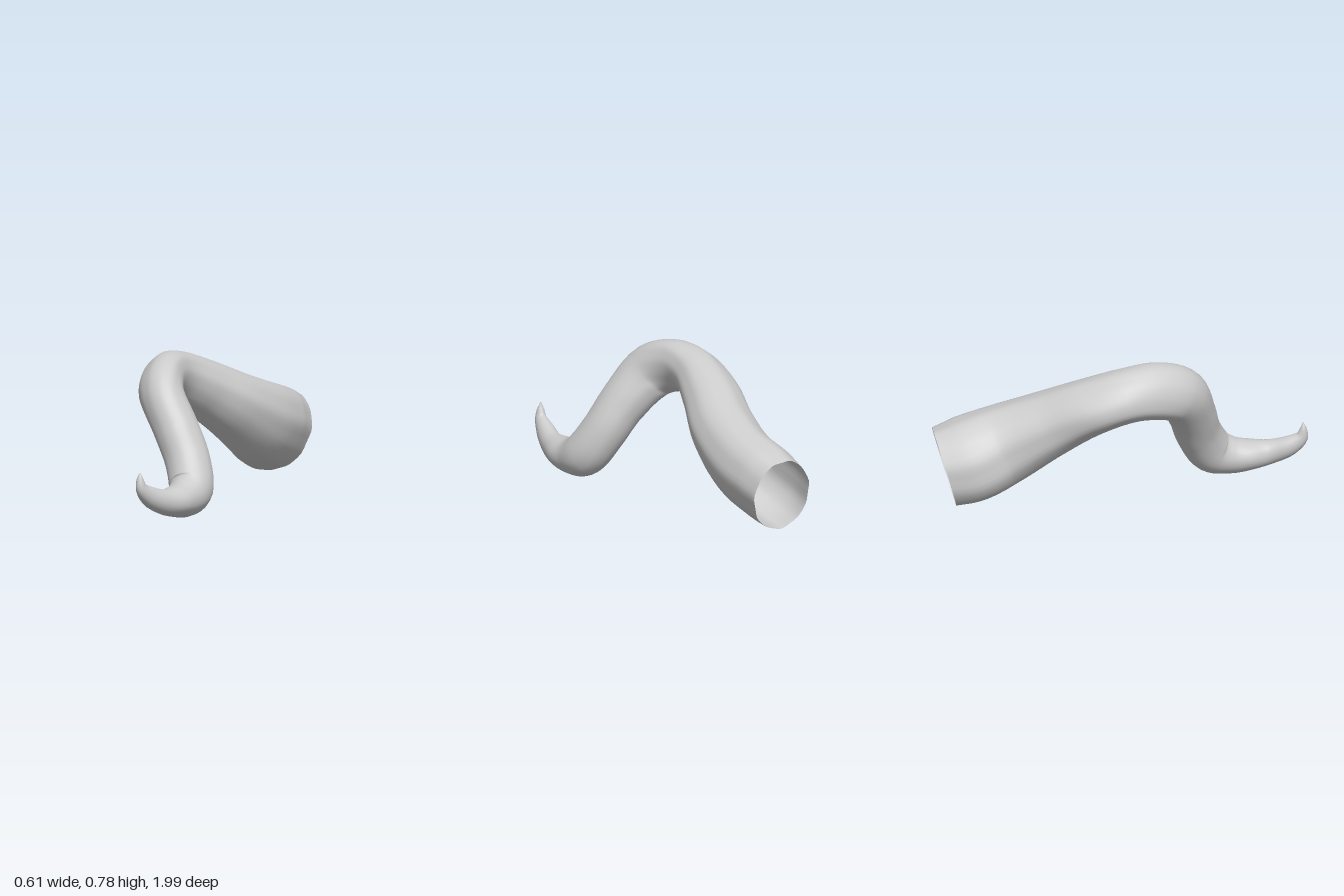
import * as THREE from 'three';

// Stations along the tentacle, root to tip:
// centre x, y, z, half width, half height, lean of the cross-section
const STATIONS = [
  [-0.01, 0.225, -0.938, 0.175, 0.207, 0.15],
  [-0.012, 0.263, -0.8, 0.196, 0.22, 0.18],
  [0.003, 0.325, -0.63, 0.184, 0.21, 0.12],
  [-0.035, 0.44, -0.4, 0.175, 0.175, 0.05],
  [-0.105, 0.55, -0.2, 0.155, 0.15, 0.05],
  [-0.155, 0.628, 0.0, 0.133, 0.138, 0.15],
  [-0.143, 0.638, 0.15, 0.121, 0.142, 0.25],
  [-0.085, 0.585, 0.289, 0.122, 0.139, 0.2],
  [0.042, 0.42, 0.371, 0.12, 0.126, 0.05],
  [0.132, 0.27, 0.42, 0.118, 0.121, 0],
  [0.193, 0.137, 0.502, 0.115, 0.12, 0],
  [0.2, 0.1, 0.6, 0.1, 0.098, 0],
  [0.195, 0.098, 0.7, 0.094, 0.08, 0],
  [0.185, 0.11, 0.8, 0.062, 0.066, 0],
  [0.155, 0.15, 0.9, 0.048, 0.054, 0],
  [0.14, 0.2, 0.962, 0.03, 0.036, 0],
  [0.135, 0.25, 0.972, 0.018, 0.018, 0],
  [0.135, 0.282, 0.97, 0.003, 0.003, 0],
];
const RINGS = 102, SIDES = 44;

function tentacleGeometry() {
  const path = new THREE.CatmullRomCurve3(STATIONS.map(s => new THREE.Vector3(s[0], s[1], s[2])));
  const sections = new THREE.CatmullRomCurve3(
    STATIONS.map(s => new THREE.Vector3(s[3], s[4], s[5])), false, 'catmullrom', 0.5);
  const positions = [], index = [];

  for (let i = 0; i <= RINGS; i++) {
    const t = i / RINGS;
    const c = path.getPoint(t), s = sections.getPoint(t), T = path.getTangent(t);
    // Sideways axis of the section, kept as close to +x as the path allows
    const side = new THREE.Vector3(1, 0, 0).addScaledVector(T, -T.x).normalize();
    const normal = new THREE.Vector3().crossVectors(T, side);
    const fade = Math.max(0, 1 - t * 1.2);
    for (let j = 0; j < SIDES; j++) {
      const a = (j / SIDES) * Math.PI * 2;
      // Lengthwise folds, strongest near the root
      const fold = 1 + fade * (0.014 * Math.cos(7 * a + 3 * t) + 0.01 * Math.cos(11 * a - 5 * t + 1));
      // Pointed outer flank on the crest of the arch
      const flank = 0.17 * Math.exp(-(((t - 0.262) / 0.04) ** 2)) * Math.max(0, -Math.cos(a)) ** 8;
      const k = fold + flank;
      const p = c.clone()
        .addScaledVector(side, Math.cos(a) * s.x * k)
        .addScaledVector(normal, Math.sin(a + s.z) * s.y * k);
      positions.push(p.x, Math.max(0, p.y), p.z);
      if (i < RINGS) {
        const n = (j + 1) % SIDES, b = i * SIDES, d = b + SIDES;
        index.push(b + j, b + n, d + n, b + j, d + n, d + j);
      }
    }
  }
  const g = new THREE.BufferGeometry();
  g.setAttribute('position', new THREE.Float32BufferAttribute(positions, 3));
  g.setIndex(index);
  g.computeVertexNormals();
  return g;
}

export function createModel() {
  const group = new THREE.Group();
  group.name = 'tentacle';
  // Hollow skin, open at the root
  const skin = new THREE.Mesh(
    tentacleGeometry(),
    new THREE.MeshStandardMaterial({ color: 0xcccccc, side: THREE.DoubleSide }));
  skin.name = 'tentacleSkin';
  group.add(skin);
  return group;
}
